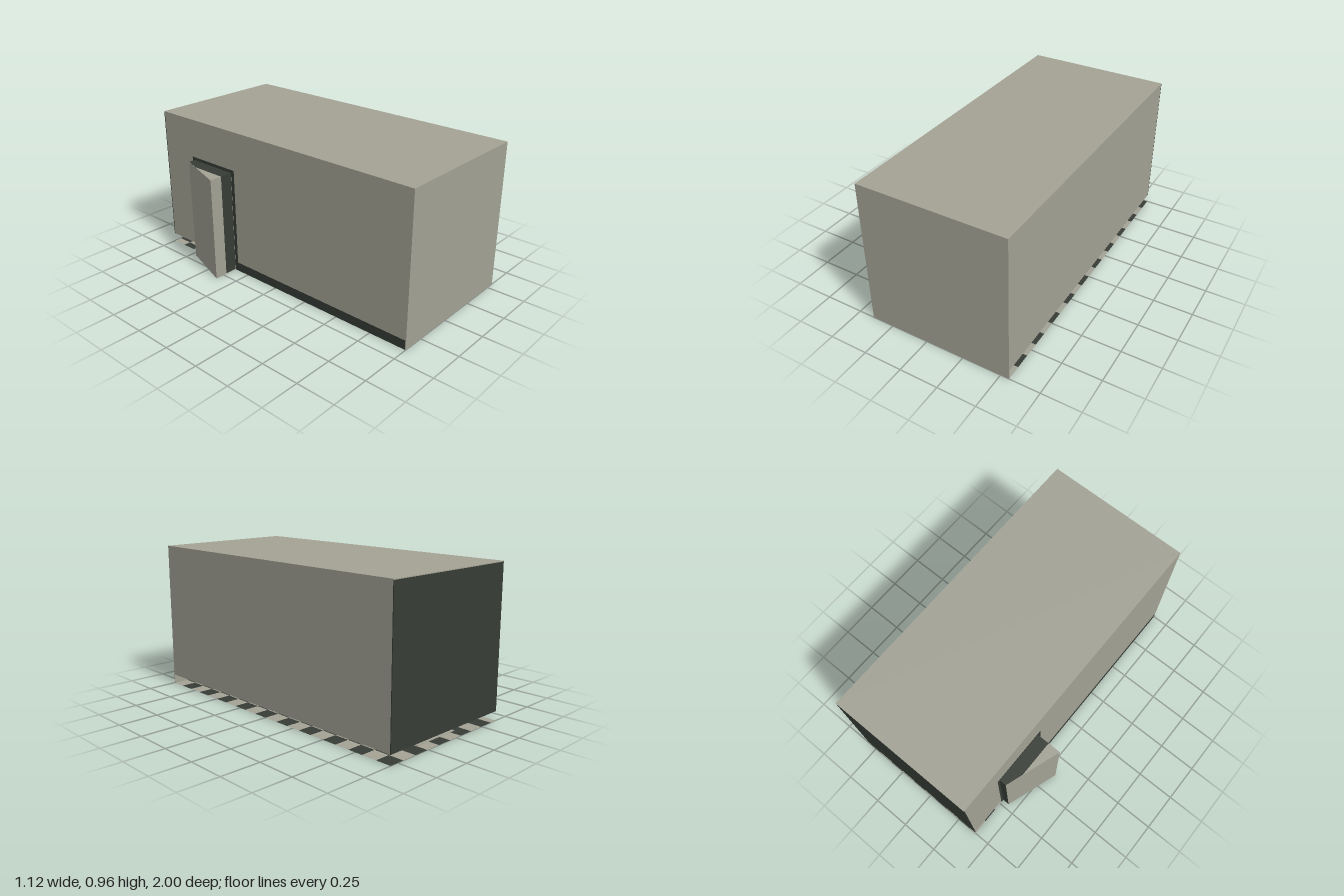
import * as THREE from 'three';
import { mergeGeometries } from 'three/addons/utils/BufferGeometryUtils.js';

export function createModel() {
  const group = new THREE.Group();
  const tan = new THREE.MeshStandardMaterial({ color: 0xa3a295 });
  tan.name = 'stone grey';
  const dark = new THREE.MeshStandardMaterial({ color: 0x363c35 });
  dark.name = 'dark green grey';
  // Same colours for the zero-thickness floor tiles, seen from both sides
  tan.side = dark.side = THREE.DoubleSide;

  const X0 = -0.395, X1 = 0.555, H = 0.96, GAP = 0.06, T = 0.005;
  const add = (name, geometry, material) => {
    const mesh = new THREE.Mesh(geometry, material);
    mesh.name = name;
    group.add(mesh);
    return mesh;
  };
  // Box given by its minimum and maximum corners
  const box = (name, a, b, material) => add(name,
    new THREE.BoxGeometry(b[0] - a[0], b[1] - a[1], b[2] - a[2])
      .translate((a[0] + b[0]) / 2, (a[1] + b[1]) / 2, (a[2] + b[2]) / 2), material);
  // Side panel: outline in (z, y), extruded along +x from the given x
  const sidePanel = (name, points, x, depth, material) => {
    const shape = new THREE.Shape(points.map(([z, y]) => new THREE.Vector2(-z, y)));
    const geometry = new THREE.ExtrudeGeometry(shape, { depth, bevelEnabled: false });
    return add(name, geometry.rotateY(Math.PI / 2).translate(x, 0, 0), material);
  };
  // Upright prism: outline in (x, z), from y0 to y1
  const prism = (name, points, y0, y1, material) => {
    const shape = new THREE.Shape(points.map(([x, z]) => new THREE.Vector2(x, -z)));
    const geometry = new THREE.ExtrudeGeometry(shape, { depth: y1 - y0, bevelEnabled: false });
    return add(name, geometry.rotateX(-Math.PI / 2).translate(0, y0, 0), material);
  };

  // Shell
  box('ceiling', [X0, H - T, -1], [X1, H, 1], tan);
  box('frontWall', [X0, 0, 1 - T], [X1, H - T, 1], tan);
  box('leftWall', [X1 - T, GAP, -1 + T], [X1, H - T, 1 - T], tan);
  box('backWall', [X0, GAP, -1], [X1, H - T, -1 + T], dark);
  sidePanel('doorwayWall', [
    [1 - T, GAP], [-0.34, GAP], [-0.34, 0.705], [-0.735, 0.705],
    [-0.735, GAP], [-1 + T, GAP], [-1 + T, H - T], [1 - T, H - T],
  ], X0, T, tan);

  // Dark trim along the foot of the doorway wall and around the opening
  box('baseboard', [X0, 0, -0.34], [X0 + T, GAP, 1 - T], dark);
  sidePanel('doorFrame', [
    [-0.34, 0], [-0.365, 0], [-0.365, 0.685], [-0.715, 0.685],
    [-0.715, 0], [-0.735, 0], [-0.735, 0.705], [-0.34, 0.705],
  ], X0, T, dark);

  // Checkered floor
  const cell = 0.1, tiles = [[], []];
  const columns = Math.ceil((X1 - X0) / cell), rows = Math.round(2 / cell);
  for (let i = 0; i < columns; i++) {
    for (let j = 0; j < rows; j++) {
      const right = X1 - i * cell, left = Math.max(X0, right - cell);
      tiles[(i + j) % 2].push(new THREE.PlaneGeometry(right - left, cell)
        .rotateX(-Math.PI / 2)
        .translate((left + right) / 2, 0, 1 - (j + 0.5) * cell));
    }
  }
  add('lightFloorTiles', mergeGeometries(tiles[0]), tan);
  add('darkFloorTiles', mergeGeometries(tiles[1]), dark);
  box('floorMat', [-0.08, 0.001, -0.93], [0.25, 0.004, -0.5], tan);

  // Slanted door pod: light outer wedge, dark inner core, light lining and underside
  const zF = -0.367, zB = -0.717, xF = -0.56, xB = -0.44, xM = -0.477, top = 0.685;
  const zM = zF + (zB - zF) * (xM - xF) / (xB - xF);
  prism('doorWedge', [[xF, zF], [xM, zF], [xM, zM]], 0.004, top, tan);
  prism('doorCore', [[xM, zF], [X0, zF], [X0, zB], [xB, zB], [xM, zM]], 0.004, top, dark);
  prism('doorUnderside', [[xF, zF], [X0, zF], [X0, zB], [xB, zB]], 0, 0.004, tan);
  box('doorLining', [X0, 0, zB], [X0 + 0.003, top, zF], tan);

  // Outer door face with handle slot and screws, placed in the slanted plane
  const face = new THREE.Group();
  face.name = 'doorFace';
  const length = Math.hypot(xF - xB, zF - zB);
  face.position.set((xF + xB) / 2, 0, (zF + zB) / 2);
  face.rotation.y = Math.atan2(-(zF - zB), xF - xB);
  face.rotation.y = Math.atan2(-(zF - zB), -(xB - xF));
  group.add(face);
  const onFace = (name, geometry, material) => {
    const mesh = new THREE.Mesh(geometry, material);
    mesh.name = name;
    face.add(mesh);
  };
  onFace('doorPanel', new THREE.BoxGeometry(length, top, 0.003).translate(0, top / 2, 0), tan);
  const r = 0.022, half = 0.036;
  const slot = new THREE.Shape();
  slot.absarc(half, 0, r, -Math.PI / 2, Math.PI / 2);
  slot.absarc(-half, 0, r, Math.PI / 2, Math.PI * 1.5);
  // The outward side of the panel is local -z
  onFace('handleSlot', new THREE.ExtrudeGeometry(slot, { depth: 0.002, bevelEnabled: false })
    .translate(0, 0.57, -0.0035), dark);
  for (const side of [-1, 1]) {
    onFace('screw', new THREE.CylinderGeometry(0.003, 0.003, 0.002, 8)
      .rotateX(Math.PI / 2).translate(side * 0.008, 0.465, -0.0025), dark);
  }
  return group;
}
